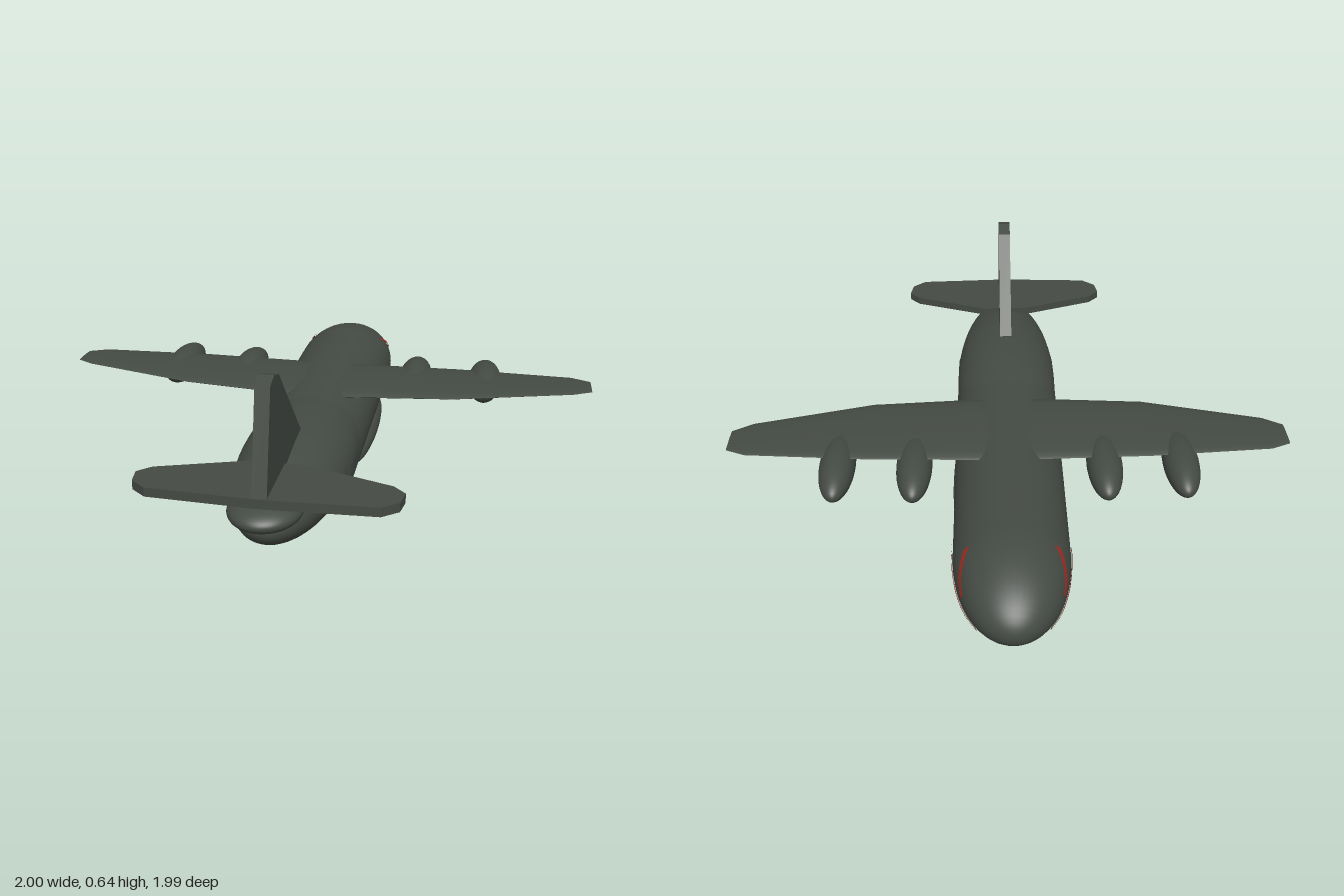
import * as THREE from 'three';
import { toCreasedNormals } from 'three/addons/utils/BufferGeometryUtils.js';

const mat = (name, color, side = THREE.FrontSide) =>
  Object.assign(new THREE.MeshStandardMaterial({ color, side }), { name });

export function createModel() {
  const paint = mat('dark grey green', 0x444a44);
  const red = mat('dull red', 0x9c2a22, THREE.DoubleSide);
  const cream = mat('dirty cream', 0x9c937f, THREE.DoubleSide);
  const gap = mat('near black', 0x2b2f2b, THREE.DoubleSide);

  const model = new THREE.Group();
  model.name = 'transportAircraft';
  const add = (name, geometry, material = paint) => {
    const mesh = new THREE.Mesh(geometry, material);
    mesh.name = name;
    model.add(mesh);
    return mesh;
  };
  const ellipsoid = (name, pos, radii) => {
    const g = new THREE.SphereGeometry(1, 40, 28);
    g.rotateX(Math.PI / 2);
    g.scale(...radii);
    g.translate(...pos);
    return add(name, g);
  };

  // Fuselage: oval tube, rounded nose, tapering rear and tail cone
  const tube = new THREE.CylinderGeometry(1, 1, 1.16, 48);
  tube.rotateX(Math.PI / 2);
  tube.scale(0.195, 0.154, 1);
  tube.translate(0, 0.156, -0.1);
  add('fuselage', tube);
  const nose = { y: 0.156, z: -0.66, r: [0.194, 0.155, 0.337] };
  ellipsoid('nose', [0, nose.y, nose.z], nose.r);
  ellipsoid('rearFuselage', [0, 0.175, 0.35], [0.195, 0.145, 0.57]);
  ellipsoid('tailCone', [0, 0.235, 0.86], [0.115, 0.047, 0.135]);

  // Landing gear fairings and engine pods
  for (const s of [1, -1]) {
    const side = s > 0 ? 'left' : 'right';
    ellipsoid(side + 'GearFairing', [s * 0.155, 0.07, -0.175], [0.05, 0.045, 0.33]);
    ellipsoid(side + 'InnerEngine', [s * 0.335, 0.25, -0.29], [0.063, 0.06, 0.18]);
    ellipsoid(side + 'OuterEngine', [s * 0.605, 0.254, -0.287], [0.063, 0.06, 0.18]);
  }

  // Wing lofted across the span: x, leading z, trailing z, half thickness, centre y
  const half = [
    [0.1, -0.3, 0.06, 0.016, 0.284],
    [0.5, -0.297, 0.025, 0.012, 0.29],
    [0.93, -0.27, -0.09, 0.006, 0.294],
    [1, -0.24, -0.13, 0.003, 0.293],
  ];
  const stations = [...half.map(([x, ...rest]) => [-x, ...rest]).reverse(), ...half];
  const ringSize = 20, pos = [], idx = [];
  stations.forEach(([x, le, te, t, y], i) => {
    for (let j = 0; j < ringSize; j++) {
      const a = (j / ringSize) * Math.PI * 2;
      pos.push(x, y + Math.sin(a) * t, (le + te) / 2 - Math.cos(a) * (te - le) / 2);
      if (i === stations.length - 1) continue;
      const p = i * ringSize + j, q = i * ringSize + (j + 1) % ringSize;
      idx.push(p, q, p + ringSize, q, q + ringSize, p + ringSize);
    }
  });
  const last = (stations.length - 1) * ringSize;
  for (let j = 1; j < ringSize - 1; j++) {
    idx.push(0, j + 1, j, last, last + j, last + j + 1);
  }
  const wing = new THREE.BufferGeometry();
  wing.setAttribute('position', new THREE.Float32BufferAttribute(pos, 3));
  wing.setIndex(idx);
  add('wing', toCreasedNormals(wing, 0.6));

  // Tailplane and fin: flat plates
  const plate = (pts, depth) => new THREE.ExtrudeGeometry(
    new THREE.Shape(pts.map(([a, b]) => new THREE.Vector2(a, b))), { depth, bevelEnabled: false });
  const tailHalf = [[0.09, 0.695], [0.37, 0.79], [0.41, 0.83], [0.4, 0.89], [0.35, 0.93], [0.02, 0.945]];
  const tailplane = plate([...tailHalf, ...tailHalf.map(([x, z]) => [-x, z]).reverse()], 0.03);
  tailplane.rotateX(Math.PI / 2);
  tailplane.translate(0, 0.305, 0);
  add('tailplane', tailplane);

  const fin = plate([[-0.94, 0.27], [-0.45, 0.27], [-0.45, 0.318], [-0.76, 0.622],
    [-0.82, 0.64], [-0.87, 0.625], [-0.94, 0.3]], 0.046);
  fin.rotateY(Math.PI / 2);
  fin.translate(-0.023, 0, 0);
  add('fin', fin);

  // Painted face: thin strips that follow the curved skin of the nose
  const skinX = (y, z, lift) => {
    const dz = Math.min(0, z - nose.z) / (nose.r[2] + lift);
    const dy = (y - nose.y) / (nose.r[1] + lift);
    return (nose.r[0] + 0.001 + lift) * Math.sqrt(Math.max(0, 1 - dz * dz - dy * dy));
  };
  const strip = (name, s, z0, z1, low, high, lift, material) => {
    const g = new THREE.PlaneGeometry(1, 1, 32, 6), p = g.attributes.position;
    for (let i = 0; i < p.count; i++) {
      const z = z0 + (z1 - z0) * (p.getX(i) + 0.5);
      const y = low(z) + (high(z) - low(z)) * (p.getY(i) + 0.5);
      p.setXYZ(i, s * skinX(y, z, lift), y, z);
    }
    // Keep the front faces looking outwards on both sides
    if (s < 0) g.setIndex(Array.from(g.index.array).reverse());
    g.computeVertexNormals();
    add(name, g, material);
  };
  const polyline = (pts) => (z) => {
    let i = 0;
    while (i < pts.length - 2 && z < pts[i + 1][0]) i++;
    const [a, b] = [pts[i], pts[i + 1]];
    return a[1] + (b[1] - a[1]) * (z - a[0]) / (b[0] - a[0]);
  };
  const lipTop = polyline([[-0.61, 0.175], [-0.65, 0.14], [-0.72, 0.118], [-0.8, 0.108], [-0.91, 0.112]]);
  const lipLow = polyline([[-0.61, 0.165], [-0.64, 0.11], [-0.68, 0.075], [-0.76, 0.052], [-0.84, 0.058], [-0.91, 0.1]]);
  const brow = polyline([[-0.71, 0.262], [-0.76, 0.235], [-0.85, 0.185]]);
  const shifted = (f, d) => (z) => f(z) + d;

  for (const s of [1, -1]) {
    const side = s > 0 ? 'left' : 'right';
    strip(side + 'Teeth', s, -0.61, -0.91, lipLow, lipTop, 0.003, cream);
    strip(side + 'UpperLip', s, -0.61, -0.91, shifted(lipTop, -0.004), shifted(lipTop, 0.005), 0.005, red);
    strip(side + 'LowerLip', s, -0.61, -0.91, shifted(lipLow, -0.003), shifted(lipLow, 0.003), 0.005, red);
    strip(side + 'Brow', s, -0.71, -0.85, shifted(brow, -0.008), shifted(brow, 0.008), 0.004, red);
    // Dark notches between the teeth
    for (let k = 0; k < 5; k++) {
      const z = -0.765 - k * 0.025;
      const peak = (q) => lipLow(q) + (lipTop(q) - lipLow(q)) * 0.75 * (1 - Math.abs(q - z) / 0.012);
      strip(side + 'ToothGap' + k, s, z + 0.012, z - 0.012, lipLow, peak, 0.0045, gap);
    }
  }
  return model;
}
